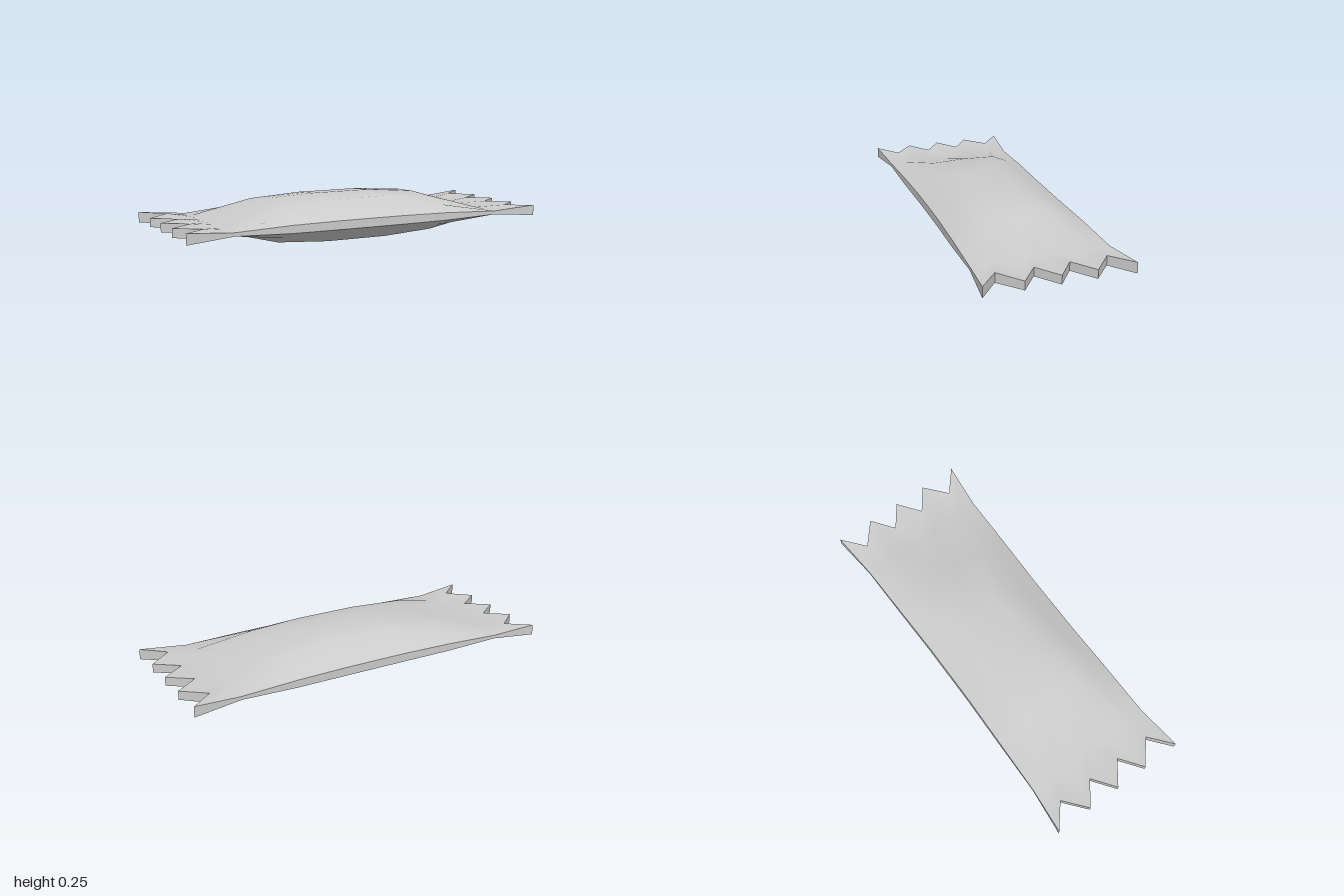
import * as THREE from 'three';

const MID = 0.125; // height of the seam plane
// lengthwise stations: x, edge z, half thickness at edge / shoulder / ridge
const HALF = [
  [1.0, 0.378, 0.028, 0.023, 0.023],
  [0.75, 0.355, 0.009, 0.008, 0.008],
  [0.45, 0.349, 0.020, 0.091, 0.097],
  [0.17, 0.343, 0.0225, 0.108, 0.1225],
];
const STATIONS = [
  ...HALF.map(([x, ...rest]) => [-x, ...rest]),
  ...HALF.slice().reverse(),
];
const SHOULDER = 0.178;
const ROWS = 9;
const COLS = STATIONS.length;

// Point of the wrapper skin: side is +1 for the top, -1 for the bottom
function point(col, row, side) {
  const [x, edge, hEdge, hShoulder, hRidge] = STATIONS[col];
  const k = row - 4;
  const a = Math.abs(k);
  const lerp = THREE.MathUtils.lerp;
  const t = a <= 2 ? a / 2 : (a - 2) / 2;
  const z = a <= 2 ? SHOULDER * t : lerp(SHOULDER, edge, t);
  const h = a <= 2 ? lerp(hRidge, hShoulder, t) : lerp(hShoulder, hEdge, t);
  // every second row of the end seals is cut back to form the teeth
  const cut = Math.abs(x) === 1 && a % 2 === 1 ? 0.88 : 1;
  return [x * cut, MID + side * h, Math.sign(k) * z];
}

function makeMesh(name, positions, index, material) {
  const geo = new THREE.BufferGeometry();
  geo.setAttribute('position', new THREE.Float32BufferAttribute(positions, 3));
  geo.setIndex(index);
  geo.computeVertexNormals();
  const mesh = new THREE.Mesh(geo, material);
  mesh.name = name;
  return mesh;
}

// Smooth padded sheet, top or bottom
function makeSheet(name, side, material) {
  const pos = [], index = [];
  for (let c = 0; c < COLS; c++)
    for (let r = 0; r < ROWS; r++) pos.push(...point(c, r, side));
  for (let c = 0; c < COLS - 1; c++) {
    for (let r = 0; r < ROWS - 1; r++) {
      const a = c * ROWS + r, b = a + 1, d = a + ROWS, e = d + 1;
      // diagonals mirror about the centre line
      const tris = (r < 4) === (c < COLS / 2)
        ? [[a, b, e], [a, e, d]]
        : [[a, b, d], [b, e, d]];
      for (const [i, j, k] of tris) index.push(...(side > 0 ? [i, j, k] : [i, k, j]));
    }
  }
  return makeSheet.finish(name, pos, index, material);
}
makeSheet.finish = makeMesh;

// Flat-faced wall joining both sheets along a list of [col, row] stops
function makeWall(name, stops, material) {
  const pos = [], index = [];
  for (let i = 0; i < stops.length - 1; i++) {
    const [p, q] = [stops[i], stops[i + 1]];
    const n = pos.length / 3;
    pos.push(...point(...p, -1), ...point(...q, -1), ...point(...q, 1), ...point(...p, 1));
    index.push(n, n + 1, n + 2, n, n + 2, n + 3);
  }
  return makeMesh(name, pos, index, material);
}

export function createModel() {
  const group = new THREE.Group();
  group.name = 'wrappedBar';
  const material = new THREE.MeshStandardMaterial({ color: 0xcccccc });

  // padded faces
  group.add(makeSheet('topSheet', 1, material));
  group.add(makeSheet('bottomSheet', -1, material));

  // long edges and toothed ends, walked counter-clockwise seen from above
  const cols = [...Array(COLS).keys()];
  const rows = [...Array(ROWS).keys()];
  group.add(makeWall('frontEdge', cols.map((c) => [c, ROWS - 1]), material));
  group.add(makeWall('leftTeeth', rows.map((r) => [COLS - 1, r]).reverse(), material));
  group.add(makeWall('backEdge', cols.map((c) => [c, 0]).reverse(), material));
  group.add(makeWall('rightTeeth', rows.map((r) => [0, r]), material));
  return group;
}
